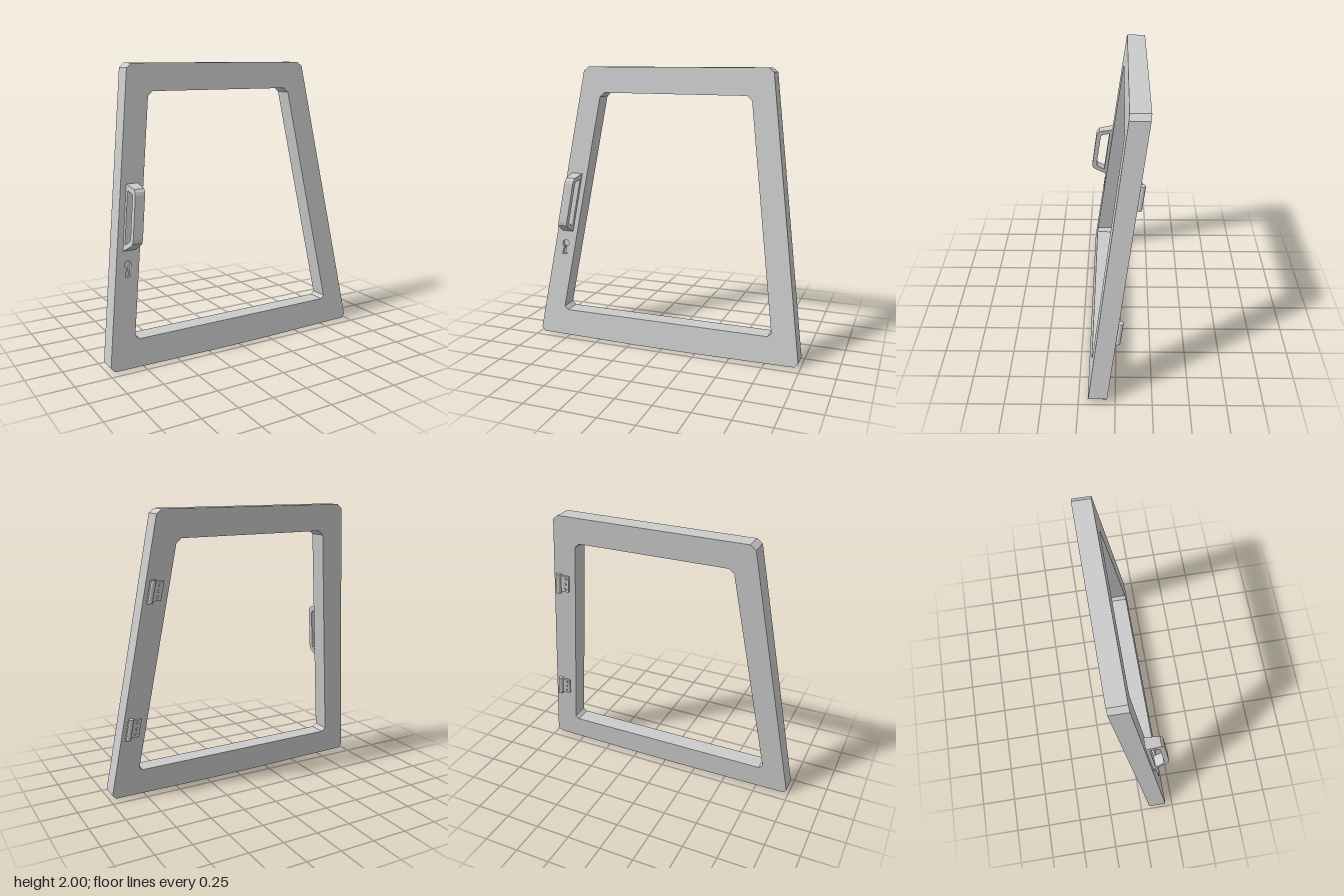
import * as THREE from 'three';

const EDGE_SLOPE = 0.144;   // sideways lean of the stiles
const THICK = 0.128;

// Door space (x, y, height above the front face) to the leaning door
const lean = new THREE.Matrix4().set(
  1, 0, 0, 0,
  0, 1, 0, 0,
  -0.006, -0.135, 1, 0.194,
  0, 0, 0, 1);

const material = new THREE.MeshStandardMaterial({ color: 0xcccccc, flatShading: true });
const pts = (list) => list.map(([x, y]) => new THREE.Vector2(x, y));

function addPart(parent, name, geometry) {
  geometry.applyMatrix4(lean);
  const mesh = new THREE.Mesh(geometry, material);
  mesh.name = name;
  parent.add(mesh);
}

// Slide x with y so a part runs parallel to a stile
function slant(geometry, slope, y0) {
  return geometry.applyMatrix4(new THREE.Matrix4().set(
    1, slope, 0, -slope * y0,
    0, 1, 0, 0,
    0, 0, 1, 0,
    0, 0, 0, 1));
}

function keyholeOutline() {
  const list = [[-0.832, 0.618], [-0.795, 0.618], [-0.806, 0.675]];
  for (let i = 0; i <= 8; i++) {
    const a = THREE.MathUtils.degToRad(-50 + i * 35);
    list.push([-0.808 + 0.026 * Math.cos(a), 0.698 + 0.026 * Math.sin(a)]);
  }
  list.push([-0.82, 0.675]);
  return pts(list);
}

// Tapered frame with clipped corners, window opening and a shallow keyhole
function addFrame(parent) {
  const shape = new THREE.Shape(pts([
    [-0.985, 0.04], [-0.96, 0.012], [-0.2, 0.003], [0.2, 0.003], [0.96, 0.012], [0.985, 0.04],
    [0.705, 1.97], [0.667, 2], [-0.67, 2], [-0.707, 1.97]]));
  shape.holes.push(new THREE.Path(pts([
    [-0.797, 0.222], [-0.768, 0.197], [0.765, 0.197], [0.79, 0.22],
    [0.565, 1.78], [0.53, 1.812], [-0.535, 1.816], [-0.57, 1.785]])));
  const keyhole = keyholeOutline();
  shape.holes.push(new THREE.Path(keyhole));
  addPart(parent, 'frame',
    new THREE.ExtrudeGeometry(shape, { depth: THICK, bevelEnabled: false }).translate(0, 0, -THICK));
  addPart(parent, 'keyholeFloor',
    new THREE.ExtrudeGeometry(new THREE.Shape(keyhole), { depth: THICK - 0.025, bevelEnabled: false })
      .translate(0, 0, -THICK));
}

// Closed-loop pull handle on the right stile
function addHandle(parent) {
  const width = 0.085;
  const side = new THREE.Shape(pts([
    [-0.002, 0.79], [0.1, 0.842], [0.119, 0.858], [0.125, 0.885],
    [0.125, 1.165], [0.121, 1.188], [0.106, 1.205], [-0.002, 1.225]]));
  side.holes.push(new THREE.Path(pts([
    [0.022, 0.838], [0.074, 0.865], [0.086, 0.876], [0.09, 0.895],
    [0.09, 1.152], [0.086, 1.167], [0.075, 1.175], [0.022, 1.186]])));
  const geo = new THREE.ExtrudeGeometry(side, { depth: width, bevelEnabled: false });
  geo.rotateY(-Math.PI / 2).translate(width, 0, 0);
  // the grip narrows away from the door
  const p = geo.attributes.position;
  for (let i = 0; i < p.count; i++) {
    const t = Math.max(p.getZ(i), 0) / 0.125;
    p.setX(i, p.getX(i) * (1 - 0.2 * t) + 0.014 * t);
  }
  geo.computeVertexNormals();
  addPart(parent, 'handle', slant(geo.translate(-0.835, 0, 0), 0.138, 0.79));
}

// Hinge on the back of the left stile: knuckle, leaf and three screws
function addHinge(parent, y) {
  const hinge = new THREE.Group();
  hinge.name = 'hinge';
  parent.add(hinge);
  const edge = 0.987 - EDGE_SLOPE * y;
  const place = (geo, dx, dy, dz) =>
    slant(geo.translate(edge + dx, y + dy, -THICK + dz), -EDGE_SLOPE, y);
  addPart(hinge, 'hingeKnuckle',
    place(new THREE.CylinderGeometry(0.019, 0.019, 0.155, 12), -0.04, 0, -0.014));
  addPart(hinge, 'hingeLeaf',
    place(new THREE.BoxGeometry(0.075, 0.13, 0.016), -0.08, 0, -0.006));
  for (const dy of [-0.042, 0, 0.042]) {
    const screw = new THREE.CylinderGeometry(0.009, 0.011, 0.008, 8).rotateX(-Math.PI / 2);
    addPart(hinge, 'hingeScrew', place(screw, -0.092, dy, -0.017));
  }
}

export function createModel() {
  const door = new THREE.Group();
  door.name = 'door';
  addFrame(door);
  addHandle(door);
  for (const y of [0.53, 1.48]) addHinge(door, y);
  return door;
}
